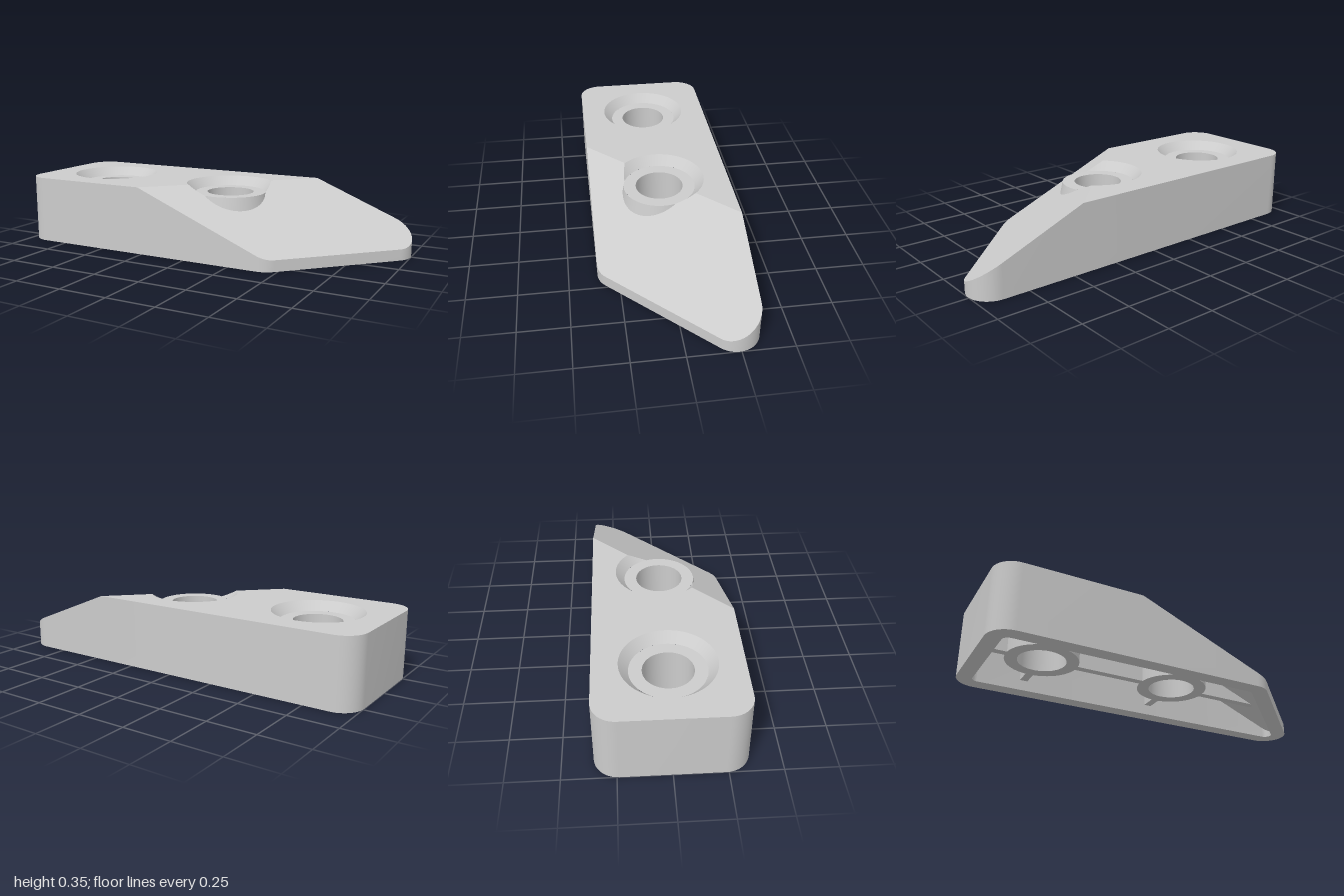
import * as THREE from 'three';
import { toCreasedNormals } from 'three/addons/utils/BufferGeometryUtils.js';

const TOP = 0.352, CREASE = 0.09, SLOPE = 0.41;   // flat top, then a diagonal ramp
const HALF = 0.355, R = 0.115, WALL = 0.08;
const FLOOR = 0.305, FLOOR_R = 0.185, BORE_R = 0.122, TUBE_Y = 0.055;
const HOLES = [-0.645, 0.09];                     // the second hole sits on the crease

const height = (x, z) => TOP - SLOPE * Math.max(0, x + z - CREASE);
const rad = THREE.MathUtils.degToRad;

function arc(cx, cz, r, a0, a1, n) {
  return Array.from({ length: n + 1 }, (_, i) => {
    const a = rad(a0 + (a1 - a0) * i / n);
    return new THREE.Vector2(cx + r * Math.cos(a), cz + r * Math.sin(a));
  });
}

// Plan outline, split where the ramp begins
function outline(inset) {
  const r = R - inset, h = HALF - inset;
  const ramp = [new THREE.Vector2(CREASE + h, -h), ...arc(0.885, -0.24, r, -90, 45, 18), ...arc(0.404, 0.24, r, 45, 90, 8)];
  const flat = [new THREE.Vector2(CREASE - h, h), ...arc(-0.885, 0.24, r, 90, 180, 12), ...arc(-0.885, -0.24, r, 180, 270, 12)];
  return { ramp, flat, all: [...ramp, ...flat] };
}

// Radius of the countersink above the pocket floor, or of the tapered boss below it
const pocketRadius = y => y > FLOOR ? FLOOR_R + (y - FLOOR) * 0.96 : FLOOR_R + (FLOOR - y) * 0.2;

// Where the pocket meets the upper surface
function rim(cx, a0, a1, n) {
  return arc(0, 0, 1, a0, a1, n).map(d => {
    let lo = 0.1, hi = 0.3;
    for (let i = 0; i < 30; i++) {
      const m = (lo + hi) / 2;
      if (m < pocketRadius(height(cx + d.x * m, d.y * m))) lo = m; else hi = m;
    }
    return new THREE.Vector2(cx + d.x * lo, d.y * lo);
  });
}

// Closed band between two loops of points
function band(lower, upper) {
  const n = lower.length, index = [];
  for (let i = 0; i < n; i++) {
    const j = (i + 1) % n;
    index.push(i, n + i, j, n + i, n + j, j);
  }
  const g = new THREE.BufferGeometry().setFromPoints([...lower, ...upper]);
  g.setIndex(index);
  return g;
}
const lift = (pts, f) => pts.map(p => new THREE.Vector3(p.x, f(p.x, p.y), p.y));

// Horizontal or sloping face filling a plan shape
function face(points, holes, f, up) {
  const shape = new THREE.Shape(points);
  shape.holes = holes.map(h => new THREE.Path(h));
  const g = new THREE.ShapeGeometry(shape), p = g.attributes.position;
  for (let i = 0; i < p.count; i++) {
    const x = p.getX(i), z = p.getY(i);
    p.setXYZ(i, x, f(x, z), z);
  }
  if (up) g.setIndex(Array.from(g.index.array).reverse());
  return g;
}

export function createModel() {
  const group = new THREE.Group();
  const material = new THREE.MeshStandardMaterial({ color: 0xcccccc });
  const add = (name, geometry) => {
    geometry.deleteAttribute('normal');
    geometry.deleteAttribute('uv');
    const mesh = new THREE.Mesh(toCreasedNormals(geometry, 0.5), material);
    mesh.name = name;
    group.add(mesh);
  };

  const outer = outline(0), inner = outline(WALL);
  const ground = () => 0, ceiling = (x, z) => height(x, z) - WALL;

  // Shell walls and bottom rim
  add('outerWall', band(lift(outer.all, ground), lift(outer.all, height)));
  add('innerWall', band(lift(inner.all, ceiling), lift(inner.all, ground)));
  add('bottomRim', face(outer.all, [inner.all], ground, false));

  // Upper faces, cut around the pockets
  const loop = cx => rim(cx, -45, 315, 96).slice(0, -1);
  const [c0, c1] = HOLES;
  add('flatTop', face([...outer.flat, ...[outer.ramp[0]], ...rim(c1, 315, 135, 48)], [loop(c0)], height, true));
  add('rampTop', face([...outer.ramp, outer.flat[0], ...rim(c1, 135, -45, 48)], [], height, true));

  // Ceiling of the hollow underside
  add('flatCeiling', face([...inner.flat, inner.ramp[0], ...arc(c1, 0, 0.15, 315, 135, 32)],
    [arc(c0, 0, 0.15, 0, 360, 64).slice(0, -1)], ceiling, false));
  add('rampCeiling', face([...inner.ramp, inner.flat[0], ...arc(c1, 0, 0.15, 135, -45, 32)], [], ceiling, false));

  // Rib under the top, running along x or z
  const rib = (x0, z0, x1, z1) => {
    const g = new THREE.BoxGeometry(Math.abs(x1 - x0) || 0.04, 1, Math.abs(z1 - z0) || 0.04);
    g.translate((x0 + x1) / 2, 0, (z0 + z1) / 2);
    const p = g.attributes.position;
    for (let i = 0; i < p.count; i++) {
      p.setY(i, p.getY(i) < 0 ? TUBE_Y : height(p.getX(i), p.getZ(i)) - 0.05);
    }
    add('rib', g);
  };

  for (const cx of HOLES) {
    // Countersink, with the boss where the ramp drops below the floor
    const edge = loop(cx);
    const floor = arc(cx, 0, FLOOR_R, -45, 315, 96).slice(0, -1);
    add('pocketWall', band(lift(edge, height), lift(floor, () => FLOOR)));

    // Pocket floor, bore and tube
    const profile = [[FLOOR_R, FLOOR], [BORE_R, FLOOR], [BORE_R, TUBE_Y], [FLOOR_R, TUBE_Y], [FLOOR_R, FLOOR - 0.005]];
    const tube = new THREE.LatheGeometry(profile.map(p => new THREE.Vector2(...p)), 64);
    add('screwTube', tube.translate(cx, 0, 0));

    for (const s of [-1, 1]) rib(cx, s * 0.15, cx, s * 0.3);
  }
  rib(-0.95, 0, c0 - 0.15, 0);
  rib(c0 + 0.15, 0, c1 - 0.15, 0);
  rib(c1 + 0.15, 0, 0.62, 0);

  return group;
}
